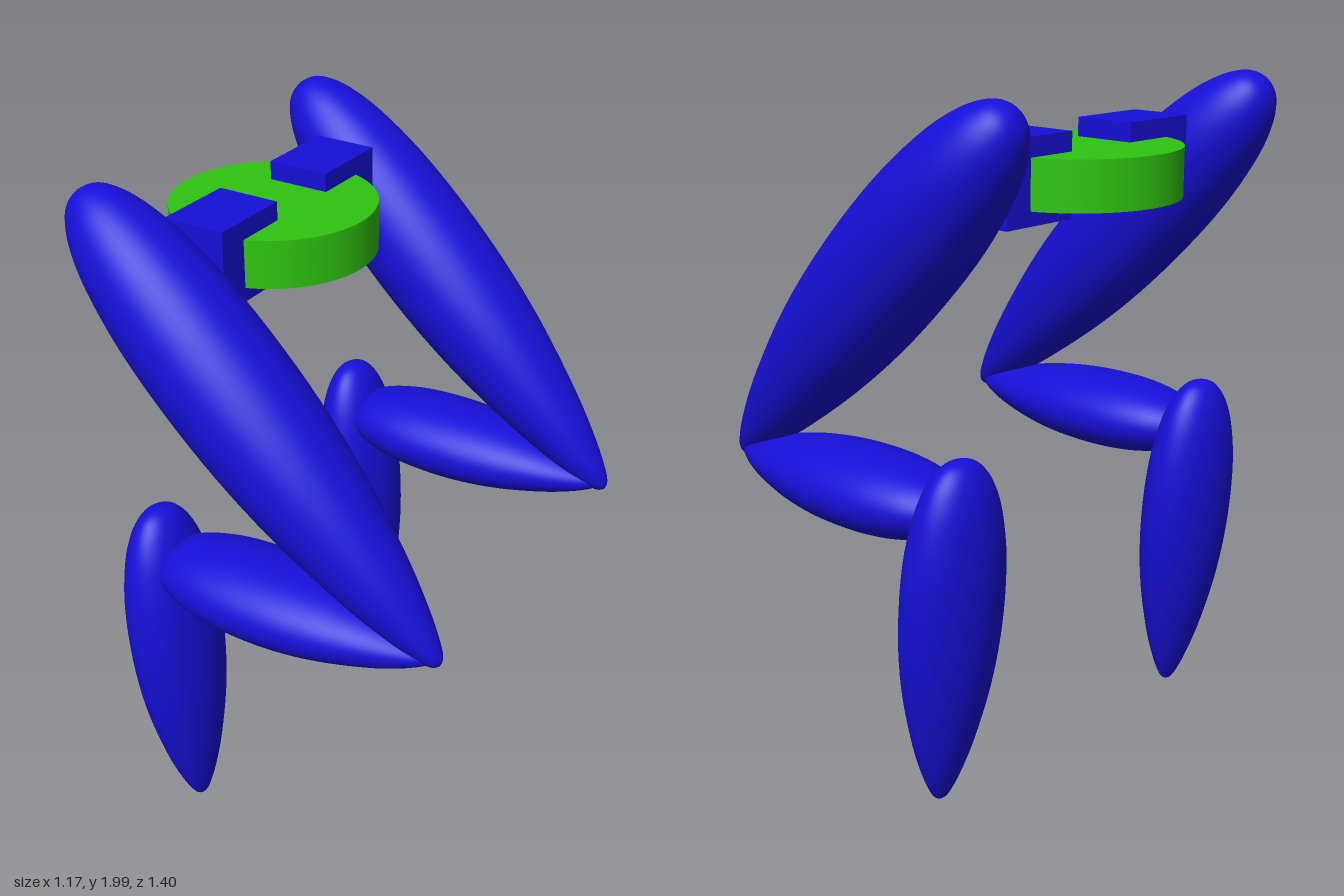
import * as THREE from 'three';

const blue = new THREE.MeshStandardMaterial({ color: 0x170fd8 });
const green = new THREE.MeshStandardMaterial({ color: 0x2fc410 });

// Teardrop outline: [relative radius, position along the length], blunt end first
const outline = [
  [0, 0], [0.24, 0.008], [0.43, 0.028], [0.63, 0.07], [0.81, 0.14], [0.95, 0.25], [1, 0.38],
  [0.97, 0.52], [0.85, 0.66], [0.62, 0.81], [0.4, 0.91], [0.22, 0.97], [0.11, 0.993], [0, 1],
];
const profile = new THREE.SplineCurve(outline.map(([r, t]) => new THREE.Vector2(r, t)))
  .getPoints(52)
  .map((p) => new THREE.Vector2(Math.max(p.x, 0), p.y));

// Tapered segment running from its blunt end to its pointed end in the xy plane
function segment(name, from, to, halfWidth, halfDepth) {
  const dx = to[0] - from[0];
  const dy = to[1] - from[1];
  const geometry = new THREE.LatheGeometry(profile, 48);
  geometry.scale(halfWidth, Math.hypot(dx, dy), halfDepth);
  const mesh = new THREE.Mesh(geometry, blue);
  mesh.name = name;
  mesh.position.set(from[0], from[1], 0);
  mesh.rotation.z = Math.atan2(-dx, dy);
  return mesh;
}

export function createModel() {
  const model = new THREE.Group();
  model.name = 'leggedFrame';

  // Round hip plate
  const plate = new THREE.Mesh(new THREE.CylinderGeometry(0.298, 0.298, 0.14, 64), green);
  plate.name = 'hipPlate';
  plate.position.set(-0.287, 1.75, 0);
  model.add(plate);

  for (const side of [1, -1]) {
    const label = side > 0 ? 'front' : 'back';

    // Block joining the plate to the leg
    const block = new THREE.Mesh(new THREE.BoxGeometry(0.19, 0.235, 0.253), blue);
    block.name = label + 'HipBlock';
    block.position.set(-0.285, 1.757, side * 0.248);
    model.add(block);

    // Three-part folded leg
    const leg = new THREE.Group();
    leg.name = label + 'Leg';
    leg.position.z = side * 0.522;
    leg.add(
      segment('thigh', [-0.54, 1.972], [0.577, 0.862], 0.178, 0.177),
      segment('shank', [0.0 - 0.34, 0.888], [0.56, 0.878], 0.118, 0.168),
      segment('foot', [-0.357, 1.05], [-0.262, 0.005], 0.117, 0.168),
    );
    model.add(leg);
  }

  // Rest on the ground
  const box = new THREE.Box3().setFromObject(model, true);
  model.children.forEach((part) => { part.position.y -= box.min.y; });
  return model;
}
